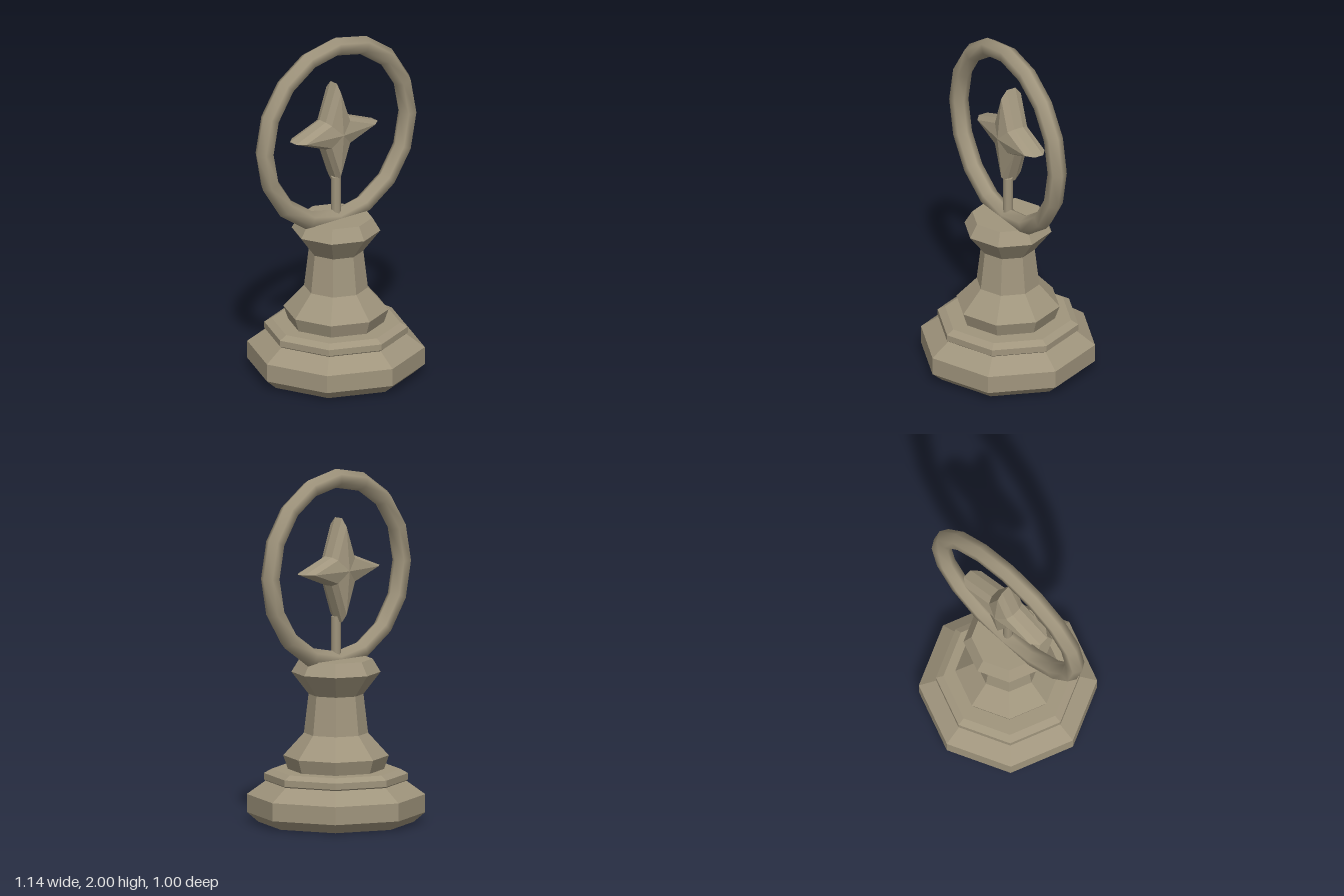
import * as THREE from 'three';

const stone = new THREE.MeshStandardMaterial({ color: 0xa0957d });
stone.name = 'warm stone';

function add(group, name, geometry, y = 0, z = 0) {
  const mesh = new THREE.Mesh(geometry, stone);
  mesh.name = name;
  mesh.position.set(0, y, z);
  group.add(mesh);
}

// Faceted octagonal turning, corners on the axes
function turned(profile) {
  const lathe = new THREE.LatheGeometry(profile.map(([r, y]) => new THREE.Vector2(r, y)), 8);
  const flat = lathe.toNonIndexed();
  flat.computeVertexNormals();
  return flat;
}

// Four-pointed star lofted through layers of [z, tip radius, notch offset];
// the first and last layers close to a point.
function starGeometry(layers) {
  const point = ([z, tip, notch], i) => {
    const a = (i % 8) * Math.PI / 4;
    const r = i % 2 ? notch * Math.SQRT2 : tip;
    return [r * Math.cos(a), r * Math.sin(a), z];
  };
  const pos = [];
  for (let k = 0; k < layers.length - 1; k++) {
    const lo = layers[k], hi = layers[k + 1];
    for (let i = 0; i < 8; i++) {
      const a = point(lo, i), b = point(lo, i + 1), c = point(hi, i + 1), d = point(hi, i);
      if (lo[1] > 0) pos.push(...a, ...b, ...d);
      if (hi[1] > 0) pos.push(...(lo[1] > 0 ? b : a), ...c, ...d);
    }
  }
  const g = new THREE.BufferGeometry();
  g.setAttribute('position', new THREE.Float32BufferAttribute(pos, 3));
  g.computeVertexNormals();
  return g;
}

export function createModel() {
  const model = new THREE.Group();
  model.name = 'starTrophy';

  // Stepped pedestal
  add(model, 'base', turned([[0, 0], [0.435, 0], [0.5, 0.055], [0.5, 0.157], [0.395, 0.233], [0, 0.233]]));
  add(model, 'plinth', turned([[0, 0.225], [0.385, 0.225], [0.404, 0.24], [0.404, 0.276], [0.362, 0.3], [0, 0.3]]));
  add(model, 'column', turned([
    [0, 0.29], [0.27, 0.3], [0.296, 0.377], [0.18, 0.505],
    [0.154, 0.725], [0.25, 0.85], [0.205, 0.925], [0, 0.925],
  ]));

  // Upright ring with a hexagonal tube
  add(model, 'ring', new THREE.TorusGeometry(0.517, 0.054, 6, 16), 1.429);

  // Post carrying the star
  add(model, 'post', new THREE.CylinderGeometry(0.028, 0.028, 0.23, 8), 1.05);

  // Star with bevelled rim and raised centre on both faces
  add(model, 'star', starGeometry([
    [-0.09, 0, 0], [-0.065, 0.25, 0.066], [-0.028, 0.295, 0.081],
    [0.028, 0.295, 0.081], [0.065, 0.25, 0.066], [0.09, 0, 0],
  ]), 1.43, -0.02);

  return model;
}
